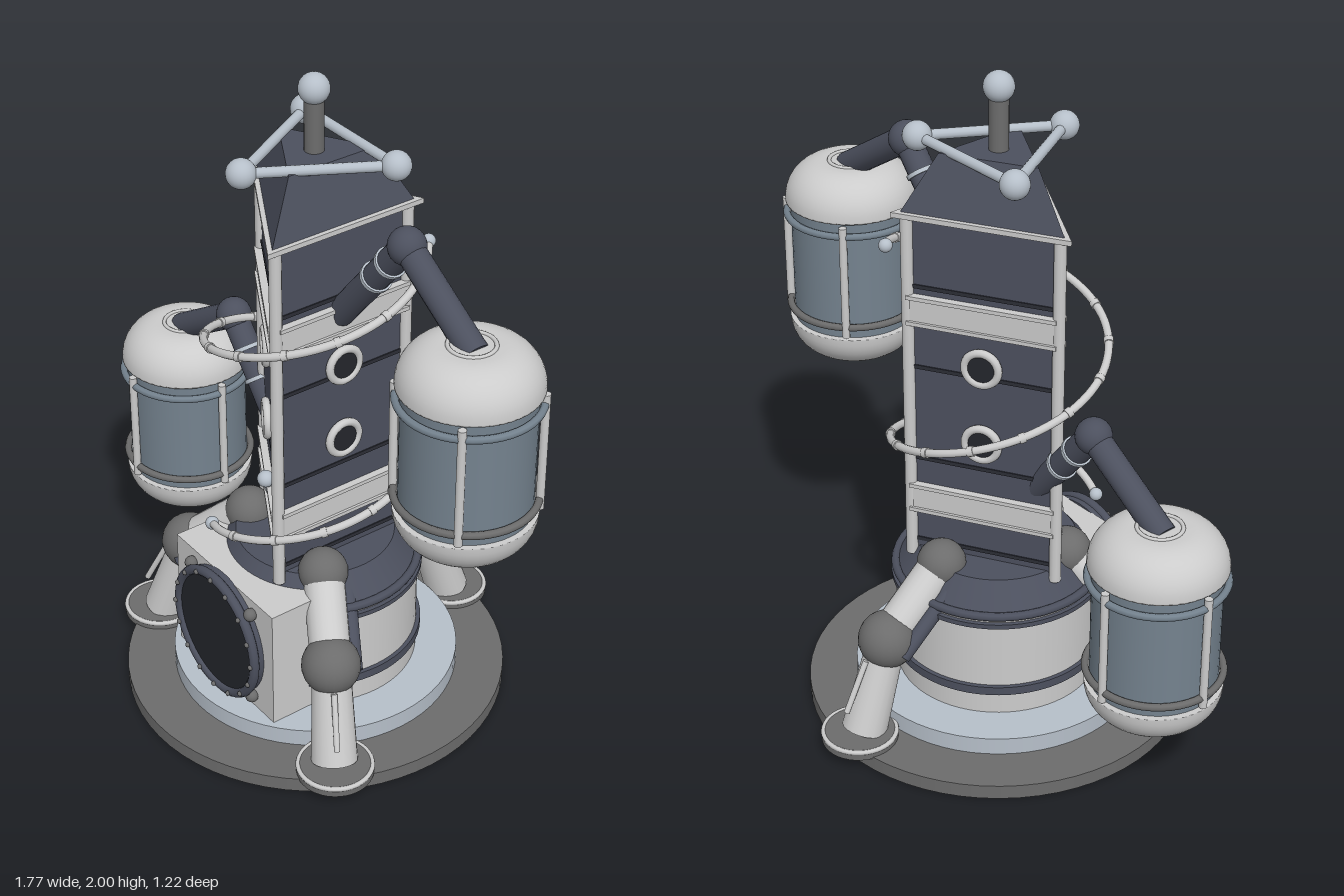
import * as THREE from 'three';

const mat = (color, extra = {}) => new THREE.MeshStandardMaterial({ color, ...extra });
const light = mat(0xcccccc);
const pale = mat(0xb6bfc9);
const grey = mat(0x6c6c6c);
const dark = mat(0x4c505e);
const darkFlat = mat(0x4c505e, { flatShading: true });
const lightFlat = mat(0xcccccc, { flatShading: true });
const steel = mat(0x74828e);
const black = mat(0x24262c);
const blackFlat = mat(0x2b2d35, { flatShading: true });

const V = (x, y, z) => new THREE.Vector3(x, y, z);

function add(parent, name, geo, material, x = 0, y = 0, z = 0) {
  const m = new THREE.Mesh(geo, material);
  m.name = name;
  m.position.set(x, y, z);
  parent.add(m);
  return m;
}

function group(parent, name) {
  const g = new THREE.Group();
  g.name = name;
  parent.add(g);
  return g;
}

// Cylinder between two points
function rod(parent, name, a, b, ra, rb, material, sides = 20) {
  const d = b.clone().sub(a);
  const m = add(parent, name, new THREE.CylinderGeometry(rb, ra, d.length(), sides), material);
  m.position.copy(a).addScaledVector(d, 0.5);
  m.quaternion.setFromUnitVectors(V(0, 1, 0), d.normalize());
  return m;
}

const ball = (parent, name, p, r, material) =>
  add(parent, name, new THREE.SphereGeometry(r, 24, 16), material, p.x, p.y, p.z);

// Upright disc spanning y0 to y1
const disc = (parent, name, r0, r1, y0, y1, material, sides = 64) =>
  add(parent, name, new THREE.CylinderGeometry(r1, r0, y1 - y0, sides), material, 0, (y0 + y1) / 2, 0);

// Three-sided prism with one corner towards -x
const prism = (parent, name, r0, r1, y0, y1, material) =>
  add(parent, name, new THREE.CylinderGeometry(r1, r0, y1 - y0, 3, 1, false, -Math.PI / 2), material, 0, (y0 + y1) / 2, 0);

const ring = (parent, name, r, tube, y, material) => {
  const m = add(parent, name, new THREE.TorusGeometry(r, tube, 8, 48), material, 0, y, 0);
  m.rotation.x = Math.PI / 2;
  return m;
};

function buildBase(root) {
  const g = group(root, 'base');
  disc(g, 'groundPlate', 0.575, 0.575, 0, 0.045, grey);
  disc(g, 'plinth', 0.43, 0.43, 0.045, 0.1, pale);
  disc(g, 'drum', 0.305, 0.305, 0.1, 0.45, light);
  disc(g, 'lowerDrumBand', 0.318, 0.318, 0.173, 0.2, dark);
  disc(g, 'upperDrumBand', 0.318, 0.318, 0.41, 0.425, dark);
  ring(g, 'drumRim', 0.305, 0.013, 0.445, dark);
  disc(g, 'shoulder', 0.295, 0.235, 0.45, 0.525, dark);
}

function buildTower(root) {
  const g = group(root, 'tower');
  prism(g, 'towerBody', 0.255, 0.255, 0.48, 1.6, darkFlat);
  prism(g, 'eaves', 0.3, 0.3, 1.595, 1.61, lightFlat);
  prism(g, 'roof', 0.272, 0.165, 1.61, 1.775, darkFlat);
  for (const y of [0.55, 0.83, 1.13, 1.385]) prism(g, 'panelGroove', 0.262, 0.262, y - 0.006, y + 0.006, blackFlat);

  // Corner posts
  for (const a of [-90, 30, 150]) {
    const t = THREE.MathUtils.degToRad(a), x = 0.256 * Math.sin(t), z = 0.256 * Math.cos(t);
    rod(g, 'cornerPost', V(x, 0.5, z), V(x, 1.6, z), 0.018, 0.018, light, 12);
  }

  // Face details: bands and portholes
  for (const a of [90, -30, 210]) {
    const f = group(g, 'towerFace');
    f.rotation.y = THREE.MathUtils.degToRad(a);
    for (const y of [0.7, 1.315]) {
      add(f, 'band', new THREE.BoxGeometry(0.43, 0.085, 0.02), light, 0, y, 0.132);
      for (const s of [-1, 1]) add(f, 'bandLip', new THREE.BoxGeometry(0.44, 0.012, 0.03), light, 0, y + s * 0.04, 0.135);
    }
    for (const y of [0.92, 1.165]) {
      add(f, 'portholeRim', new THREE.TorusGeometry(0.05, 0.012, 10, 32), light, 0, y, 0.14);
      const glass = add(f, 'portholeGlass', new THREE.CylinderGeometry(0.045, 0.045, 0.02, 32), black, 0, y, 0.135);
      glass.rotation.x = Math.PI / 2;
    }
  }
  rod(g, 'lampStem', V(0, 0.72, 0.16), V(0, 0.765, 0.175), 0.012, 0.012, pale);
  ball(g, 'lamp', V(0, 0.77, 0.175), 0.025, pale);
}

function buildMast(root) {
  const g = group(root, 'mast');
  rod(g, 'mastPole', V(0, 1.76, 0), V(0, 1.94, 0), 0.028, 0.028, grey);
  ball(g, 'mastBall', V(0, 1.956, 0), 0.044, pale);
  const corner = i => V(0.237 * Math.sin(i * 2 * Math.PI / 3), 1.778, 0.237 * Math.cos(i * 2 * Math.PI / 3));
  for (let i = 0; i < 3; i++) {
    ball(g, 'antennaBall', corner(i), 0.042, pale);
    rod(g, 'antennaBar', corner(i), corner(i + 1), 0.015, 0.015, pale, 12);
  }
}

// Pipe spiralling up around the tower
function buildCoil(root) {
  const g = group(root, 'coil');
  const at = t => {
    const a = THREE.MathUtils.degToRad(-20 + 524 * t);
    return V(0.312 * Math.sin(a), 0.6 + 0.895 * t, 0.312 * Math.cos(a));
  };
  const path = new THREE.CatmullRomCurve3(Array.from({ length: 49 }, (_, i) => at(i / 48)));
  add(g, 'coilPipe', new THREE.TubeGeometry(path, 160, 0.012, 10), light);
  for (let i = 1; i < 20; i++) rod(g, 'coilCollar', at(i / 20 - 0.003), at(i / 20 + 0.003), 0.015, 0.015, light, 10);
  for (const t of [0, 1]) ball(g, 'coilEnd', at(t), 0.02, pale);
}

function buildLeg(root, degrees) {
  const g = group(root, 'leg');
  g.rotation.y = THREE.MathUtils.degToRad(degrees);
  const hip = V(0, 0.52, 0.215), knee = V(0, 0.342, 0.42), ankle = V(0, 0.065, 0.512);
  const foot = add(g, 'foot', new THREE.CylinderGeometry(0.113, 0.113, 0.028, 40), grey, 0, 0.054, 0.53);
  add(foot, 'footRim', new THREE.TorusGeometry(0.108, 0.007, 8, 40), light, 0, 0.01, 0).rotation.x = Math.PI / 2;
  ball(g, 'hip', hip, 0.073, grey);
  ball(g, 'knee', knee, 0.086, grey);
  rod(g, 'thigh', hip, knee, 0.06, 0.06, light);
  rod(g, 'shin', ankle, knee, 0.068, 0.056, light);
  rod(g, 'sideStrut', V(0.068, 0.485, 0.22), V(0.068, 0.315, 0.42), 0.024, 0.024, dark, 14);
  rod(g, 'shinStrut', V(0, 0.15, 0.575), V(0, 0.3, 0.5), 0.009, 0.009, light, 10);
}

// Vent housing on the front
function buildVent(root) {
  const g = group(root, 'frontVent');
  add(g, 'ventBox', new THREE.BoxGeometry(0.49, 0.39, 0.225), light, 0, 0.295, 0.2175);
  const v = group(g, 'ventFan');
  v.position.set(0, 0.297, 0.33);
  add(v, 'ventDrum', new THREE.CylinderGeometry(0.2, 0.2, 0.03, 48), dark, 0, 0, 0.012).rotation.x = Math.PI / 2;
  add(v, 'ventRim', new THREE.TorusGeometry(0.195, 0.015, 10, 48), dark, 0, 0, 0.03);
  add(v, 'ventGrille', new THREE.CylinderGeometry(0.182, 0.182, 0.03, 48), black, 0, 0, 0.018).rotation.x = Math.PI / 2;
  for (let i = 0; i < 16; i++) {
    const a = i * Math.PI / 8;
    add(v, 'rimBolt', new THREE.SphereGeometry(0.008, 8, 6), grey, 0.195 * Math.cos(a), 0.195 * Math.sin(a), 0.045);
  }
  for (const x of [-1, 1]) for (const y of [-1, 1])
    add(v, 'cornerBolt', new THREE.SphereGeometry(0.02, 12, 8), grey, x * 0.152, y * 0.152, 0.012);
}

// Side tank hung from a bent arm; side is +1 or -1
function buildTank(root, side, drop, barAngle) {
  const g = group(root, side > 0 ? 'leftTank' : 'rightTank');
  g.position.y = -drop;
  const inner = V(side * 0.12, 1.325, 0), elbow = V(side * 0.405, 1.668, 0), outer = V(side * 0.69, 1.485, 0);
  rod(g, 'innerArm', inner, elbow, 0.04, 0.04, dark);
  rod(g, 'outerArm', elbow, outer, 0.04, 0.04, dark);
  ball(g, 'elbow', elbow, 0.053, dark);
  for (const t of [0.55, 0.76])
    rod(g, 'armCollar', inner.clone().lerp(elbow, t - 0.014), inner.clone().lerp(elbow, t + 0.014), 0.046, 0.046, pale);

  const p = group(g, 'tank');
  p.position.set(side * 0.677, 1.197, 0);
  disc(p, 'tankBody', 0.182, 0.182, -0.2, 0.2, steel, 48);
  const profile = [new THREE.Vector2(0, 0.19), new THREE.Vector2(0.197, 0.19)];
  for (let i = 0; i <= 10; i++) {
    const a = i * Math.PI / 20;
    profile.push(new THREE.Vector2(0.082 + 0.115 * Math.cos(a), 0.195 + 0.115 * Math.sin(a)));
  }
  profile.push(new THREE.Vector2(0, 0.31));
  const dome = new THREE.LatheGeometry(profile, 48);
  add(p, 'upperDome', dome, light);
  add(p, 'lowerDome', dome, light).rotation.x = Math.PI;
  ring(p, 'topFitting', 0.063, 0.006, 0.31, light);
  ring(p, 'upperHoop', 0.194, 0.011, 0.15, steel);
  ring(p, 'lowerHoop', 0.194, 0.011, -0.15, grey);
  for (let i = 0; i < 4; i++) {
    const a = barAngle + i * Math.PI / 2, x = 0.196 * Math.sin(a), z = 0.196 * Math.cos(a);
    rod(p, 'tankBar', V(x, -0.18, z), V(x, 0.18, z), 0.012, 0.012, light, 12);
  }
}

export function createModel() {
  const model = new THREE.Group();
  model.name = 'station';
  const root = group(model, 'structure');
  root.position.z = 0.035;
  buildBase(root);
  buildTower(root);
  buildMast(root);
  buildCoil(root);
  buildVent(root);
  for (const a of [60, -60, 180]) buildLeg(root, a);
  buildTank(root, 1, 0, Math.PI / 4);
  buildTank(root, -1, 0.61, 0);
  return model;
}
